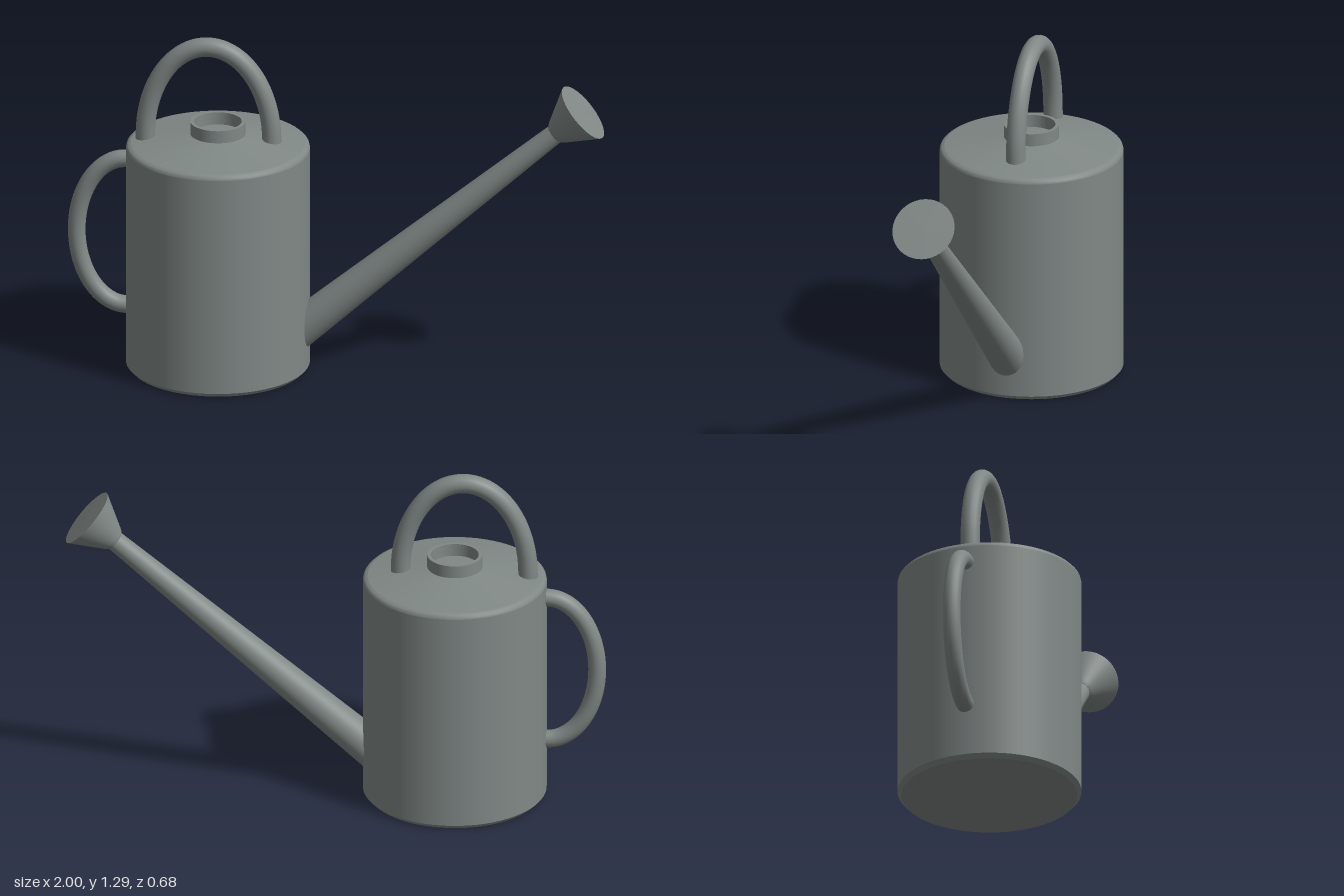
import * as THREE from 'three';

const BODY_X = -0.44;

// Lathe whose corners stay sharp: every inner point marked with a third value is doubled
function lathe(profile, segments) {
  const points = [];
  for (const [r, y, sharp] of profile) {
    points.push(new THREE.Vector2(r, y));
    if (sharp) points.push(new THREE.Vector2(r, y));
  }
  return new THREE.LatheGeometry(points, segments);
}

// Half-ellipse of points, from angle a0 to a1, with optional extra end points
function arc(cx, cy, rx, ry, a0, a1, start, end) {
  const points = [new THREE.Vector3(...start)];
  for (let i = 0; i <= 16; i++) {
    const a = a0 + (a1 - a0) * i / 16;
    points.push(new THREE.Vector3(cx + rx * Math.cos(a), cy + ry * Math.sin(a), 0));
  }
  points.push(new THREE.Vector3(...end));
  return new THREE.CatmullRomCurve3(points);
}

export function createModel() {
  const model = new THREE.Group();
  const metal = new THREE.MeshStandardMaterial({ color: 0x808886 });
  metal.name = 'grey metal';

  function add(name, geometry, parent = model) {
    const mesh = new THREE.Mesh(geometry, metal);
    mesh.name = name;
    parent.add(mesh);
    return mesh;
  }

  // Body: bevelled foot, straight wall, rounded shoulder, sloping top and open neck
  add('body', lathe([
    [0, 0], [0.325, 0, 1], [0.34, 0.016, 1], [0.34, 0.862, 1],
    [0.338, 0.871], [0.332, 0.877], [0.322, 0.881, 1], [0.102, 0.918, 1],
    [0.102, 0.966, 1], [0.088, 0.966, 1], [0.088, 0.918, 1], [0, 0.918],
  ], 64)).position.x = BODY_X;

  // Carrying handle over the top
  add('topHandle', new THREE.TubeGeometry(
    arc(-0.475, 0.9, 0.236, 0.358, Math.PI, 0, [-0.711, 0.86, 0], [-0.239, 0.86, 0]),
    64, 0.036, 16));

  // Pouring handle on the back of the body
  add('sideHandle', new THREE.TubeGeometry(
    arc(-0.78, 0.51, 0.187, 0.29, Math.PI / 2, Math.PI * 1.5, [-0.74, 0.8, 0], [-0.74, 0.22, 0]),
    64, 0.033, 16));

  // Spout and rose share one sloping axis
  const spoutGroup = new THREE.Group();
  spoutGroup.name = 'spoutAssembly';
  spoutGroup.position.set(-0.176, 0.124, 0);
  spoutGroup.rotation.z = -Math.atan2(0.915, 0.793);
  model.add(spoutGroup);

  const length = 1.315;
  add('spout', lathe([[0, 0], [0.073, 0, 1], [0.037, length]], 32), spoutGroup);

  // Flared sprinkler rose with a flat face
  add('rose', lathe([
    [0, 0], [0.038, 0, 1], [0.048, 0.012], [0.115, 0.132, 1], [0.118, 0.138, 1], [0, 0.14],
  ], 40), spoutGroup).position.y = length;

  return model;
}
